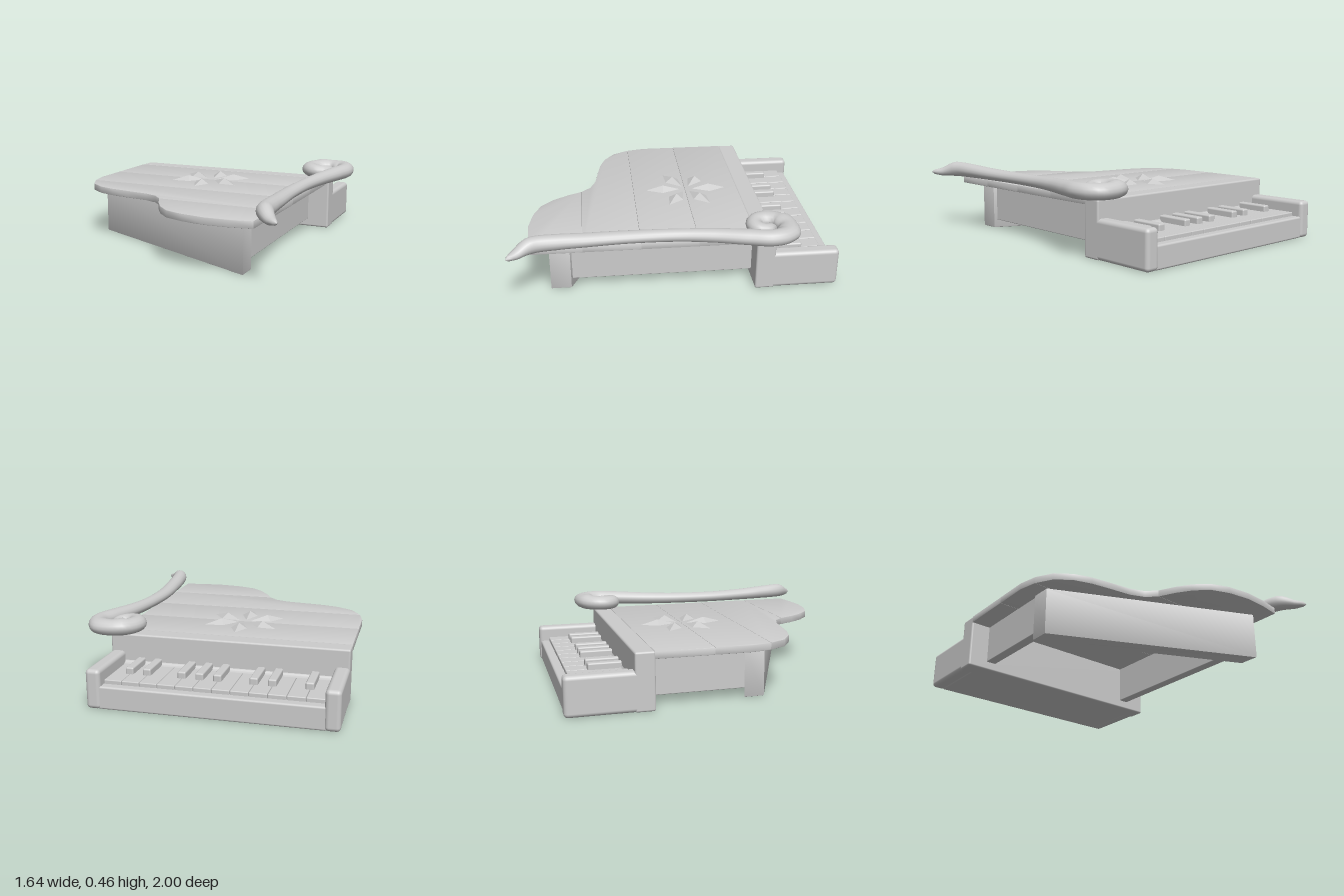
import * as THREE from 'three';
import { toCreasedNormals } from 'three/addons/utils/BufferGeometryUtils.js';
import { RoundedBoxGeometry } from 'three/addons/geometries/RoundedBoxGeometry.js';

export function createModel() {
  const model = new THREE.Group();
  model.name = 'toyPiano';
  const grey = new THREE.MeshStandardMaterial({ color: 0xcccccc });
  grey.name = 'plainGrey';

  const add = (name, geometry) => {
    const mesh = new THREE.Mesh(geometry, grey);
    mesh.name = name;
    model.add(mesh);
    return mesh;
  };

  // Soft-edged block given by its limits on each axis
  const block = (name, [x0, x1], [y0, y1], [z0, z1], r = 0.012) => {
    const mesh = add(name, new RoundedBoxGeometry(x1 - x0, y1 - y0, z1 - z0, 3, r));
    mesh.position.set((x0 + x1) / 2, (y0 + y1) / 2, (z0 + z1) / 2);
  };

  // Horizontal slab with an [x, z] outline and slightly bevelled edges
  const slab = (name, outline, y0, y1, b) => {
    const shape = new THREE.Shape(outline.map(([x, z]) => new THREE.Vector2(x, -z)));
    const geo = new THREE.ExtrudeGeometry(shape, {
      depth: y1 - y0 - 2 * b, bevelEnabled: true, bevelThickness: b,
      bevelSize: b, bevelOffset: -b, bevelSegments: 2,
    });
    geo.rotateX(-Math.PI / 2).translate(0, y0 + b, 0);
    add(name, toCreasedNormals(geo, 0.6));
  };

  // Keyboard case
  block('keyBed', [-0.75, 0.59], [0, 0.14], [-0.99, -0.5]);
  block('fallboard', [-0.825, 0.66], [0, 0.35], [-0.6, -0.48]);
  block('leftCheek', [0.57, 0.66], [0, 0.24], [-1, -0.5], 0.025);
  block('rightCheek', [-0.825, -0.735], [0, 0.24], [-1, -0.5], 0.025);

  // Cove where the fallboard meets the keys
  const cove = new THREE.Shape();
  cove.moveTo(0, 0);
  cove.lineTo(0.03, 0);
  cove.quadraticCurveTo(0, 0, 0, 0.03);
  cove.closePath();
  const coveGeo = new THREE.ExtrudeGeometry(cove, { depth: 1.31, bevelEnabled: false, curveSegments: 6 });
  add('fallboardCove', toCreasedNormals(coveGeo.rotateY(Math.PI / 2).translate(-0.738, 0.165, -0.598), 0.6));

  // White keys, and black keys over some of the joints
  const pitch = 0.1085, firstX = -0.732;
  for (let i = 0; i < 12; i++) {
    const x = firstX + i * pitch;
    block('whiteKey', [x + 0.001, x + pitch - 0.001], [0.11, 0.165], [-0.935, -0.58], 0.006);
  }
  for (const i of [1, 3, 4, 6, 7, 8, 10, 11]) {
    const x = firstX + i * pitch;
    block('blackKey', [x - 0.025, x + 0.025], [0.14, 0.205], [-0.807, -0.58], 0.01);
  }

  // Under-frame: two rails and a slanted front beam
  block('leftRail', [0.45, 0.515], [0.055, 0.31], [-0.5, 0.68], 0.005);
  block('rightRail', [-0.695, -0.63], [0.055, 0.31], [-0.5, 0.16], 0.005);
  slab('frontBeam', [[0.535, 0.775], [0.535, 0.65], [-0.71, 0.09], [-0.71, 0.215]], 0, 0.308, 0.008);

  // Lid planks, cut from the curved outline
  const outline = [
    [-0.825, -0.485], [-0.825, -0.13], [-0.825, 0.1], [-0.8, 0.22], [-0.74, 0.33], [-0.64, 0.4],
    [-0.53, 0.435], [-0.4, 0.455], [-0.26, 0.475], [-0.17, 0.51], [-0.11, 0.57], [-0.06, 0.67],
    [0, 0.76], [0.08, 0.835], [0.2, 0.88], [0.35, 0.902], [0.5, 0.895], [0.635, 0.875],
  ];
  const cuts = [-0.485, -0.13, 0.22, 0.57, 0.91];
  for (let i = 0; i < 4; i++) {
    const edge = outline.filter(([, z]) => z >= cuts[i] && z <= cuts[i + 1]);
    if (i < 3) edge.push([0.635, cuts[i + 1]]);
    slab('lidPlank', [...edge, [0.635, cuts[i]]], 0.305, 0.35, 0.004);
  }

  // Raised six-petal rosette on the lid; each petal is a four-sided pyramid
  for (let i = 0; i < 6; i++) {
    const a = (i * Math.PI) / 3 + Math.PI / 2;
    const at = (along, side, y) => [
      -0.083 + along * Math.cos(a) - side * Math.sin(a), y,
      -0.135 - along * Math.sin(a) - side * Math.cos(a),
    ];
    const rim = [at(0.035, 0, 0.348), at(0.16, -0.055, 0.348), at(0.275, 0, 0.348), at(0.16, 0.055, 0.348)];
    const top = at(0.155, 0, 0.382);
    const corners = rim.flatMap((p, k) => [...p, ...rim[(k + 1) % 4], ...top]);
    const geo = new THREE.BufferGeometry();
    geo.setAttribute('position', new THREE.Float32BufferAttribute(corners, 3));
    geo.computeVertexNormals();
    add('rosettePetal', geo);
  }

  // Scroll moulding: [x, z, half width, half height] along its run
  const run = [
    [0.815, 1.0, 0.008, 0.012], [0.765, 0.955, 0.032, 0.026], [0.695, 0.86, 0.05, 0.05],
    [0.665, 0.7, 0.052, 0.046], [0.65, 0.55, 0.052, 0.041], [0.632, 0.3, 0.049, 0.037],
    [0.642, 0, 0.045, 0.038], [0.675, -0.22, 0.05, 0.042], [0.725, -0.42, 0.056, 0.047],
    [0.752, -0.55, 0.056, 0.049], [0.718, -0.64, 0.062, 0.049], [0.63, -0.67, 0.062, 0.049],
    [0.54, -0.63, 0.062, 0.049], [0.507, -0.55, 0.06, 0.048], [0.535, -0.487, 0.055, 0.047],
    [0.595, -0.475, 0.05, 0.044], [0.637, -0.52, 0.045, 0.041], [0.615, -0.565, 0.04, 0.037],
    [0.58, -0.545, 0.032, 0.03],
  ];
  const path = new THREE.CatmullRomCurve3(run.map(([x, z]) => new THREE.Vector3(x, 0, z)));
  const sizes = new THREE.CatmullRomCurve3(run.map((p) => new THREE.Vector3(p[2], p[3], 0)));
  const rings = 110, sides = 16;
  const tube = new THREE.TubeGeometry(path, rings, 1, sides, false);
  const pos = tube.attributes.position;
  const v = new THREE.Vector3();
  for (let i = 0; i <= rings; i++) {
    const centre = path.getPointAt(i / rings);
    const size = sizes.getPoint(path.getUtoTmapping(i / rings));
    const lift = 0.357 + Math.max(size.y, 0.027);
    if (i === 0 || i === rings) size.set(0, 0, 0); // closed ends
    for (let j = 0; j <= sides; j++) {
      const k = i * (sides + 1) + j;
      v.fromBufferAttribute(pos, k).sub(centre);
      pos.setXYZ(k, centre.x + v.x * size.x, lift + v.y * size.y, centre.z + v.z * size.x);
    }
  }
  add('scrollMoulding', toCreasedNormals(tube, 1.2));

  return model;
}
